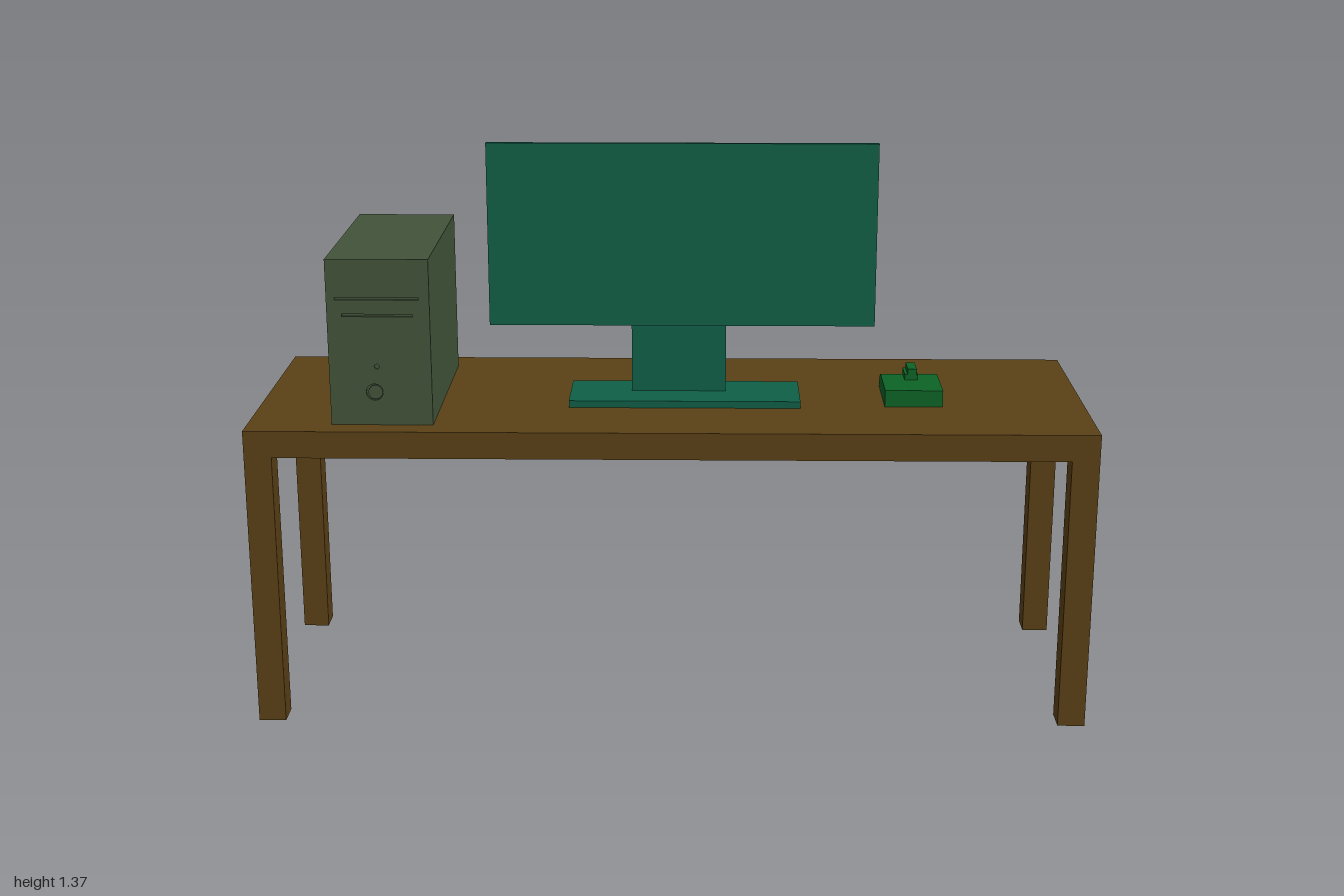
import * as THREE from 'three';

const material = (color) => new THREE.MeshStandardMaterial({ color, flatShading: true });

// Box given by its low and high limits on each axis
function box(name, mat, [x0, x1], [y0, y1], [z0, z1]) {
  const mesh = new THREE.Mesh(new THREE.BoxGeometry(x1 - x0, y1 - y0, z1 - z0), mat);
  mesh.position.set((x0 + x1) / 2, (y0 + y1) / 2, (z0 + z1) / 2);
  mesh.name = name;
  return mesh;
}

function group(name, ...parts) {
  const g = new THREE.Group();
  g.name = name;
  g.add(...parts);
  return g;
}

const TOP = 0.735; // height of the desk surface

function makeDesk() {
  const wood = material(0x5a4015);
  const desk = group('desk', box('deskTop', wood, [-1, 1], [0.67, TOP], [-0.333, 0.333]));
  for (const sx of [-1, 1]) {
    for (const sz of [-1, 1]) {
      const leg = box('deskLeg', wood, [-0.0325, 0.0325], [0, 0.67], [-0.0325, 0.0325]);
      leg.position.x = sx * 0.9675;
      leg.position.z = sz * 0.3005;
      desk.add(leg);
    }
  }
  return desk;
}

function makeMonitor() {
  const teal = material(0x0f6047);
  return group('monitor',
    box('monitorBase', teal, [-0.25, 0.31], [TOP, 0.752], [-0.055, 0.125]),
    box('monitorNeck', teal, [-0.1, 0.13], [0.752, 1.15], [0, 0.033]),
    box('monitorScreen', teal, [-0.445, 0.49], [0.92, 1.365], [0.033, 0.045]));
}

function makeTower() {
  const shell = material(0x42543a);
  const front = 0.275, depth = 0.006;
  const x0 = -0.8, x1 = -0.56, y1 = 1.133;

  // Front panel with drive slots and button recesses cut through it
  const rect = (path, a, b, c, d) =>
    path.moveTo(a, c).lineTo(b, c).lineTo(b, d).lineTo(a, d).closePath();
  const panel = rect(new THREE.Shape(), x0, x1, TOP, y1);
  for (const [a, b, y] of [[-0.78, -0.585, 1.04], [-0.765, -0.6, 1.0]]) {
    panel.holes.push(rect(new THREE.Path(), a, b, y - 0.003, y + 0.003));
  }
  panel.holes.push(new THREE.Path().absarc(-0.688, 0.877, 0.006, 0, Math.PI * 2));
  panel.holes.push(new THREE.Path().absarc(-0.695, 0.815, 0.02, 0, Math.PI * 2));
  const panelMesh = new THREE.Mesh(
    new THREE.ExtrudeGeometry(panel, { depth, bevelEnabled: false, curveSegments: 8 }), shell);
  panelMesh.position.z = front - depth;
  panelMesh.name = 'towerFrontPanel';

  // Round power button filling most of its recess
  const button = new THREE.Mesh(new THREE.CylinderGeometry(0.017, 0.017, depth, 16), shell);
  button.rotation.x = Math.PI / 2;
  button.position.set(-0.693, 0.815, front - depth / 2);
  button.name = 'powerButton';

  return group('computerTower',
    box('towerCase', shell, [x0, x1], [TOP, y1], [-0.25, front - depth]), panelMesh, button);
}

function makeMouse() {
  const green = material(0x0d6426);
  // Side profile, drawn with z to the right, rounded down at the back
  const profile = new THREE.Shape();
  profile.moveTo(0.107, TOP).lineTo(0.107, 0.776).lineTo(-0.043, 0.776);
  profile.quadraticCurveTo(-0.068, 0.77, -0.084, TOP).closePath();
  const geometry = new THREE.ExtrudeGeometry(profile,
    { depth: 0.14, bevelEnabled: false, curveSegments: 5 });
  geometry.rotateY(-Math.PI / 2); // profile axis to +z, extrusion to -x
  const body = new THREE.Mesh(geometry, green);
  body.position.x = 0.655;
  body.name = 'mouseBody';
  return group('mouse', body,
    box('mouseWheelHousing', green, [0.57, 0.602], [0.774, 0.79], [-0.053, 0.014]),
    box('mouseWheel', green, [0.577, 0.599], [0.79, 0.804], [-0.047, 0.014]));
}

export function createModel() {
  return group('computerDesk', makeDesk(), makeMonitor(), makeTower(), makeMouse());
}
